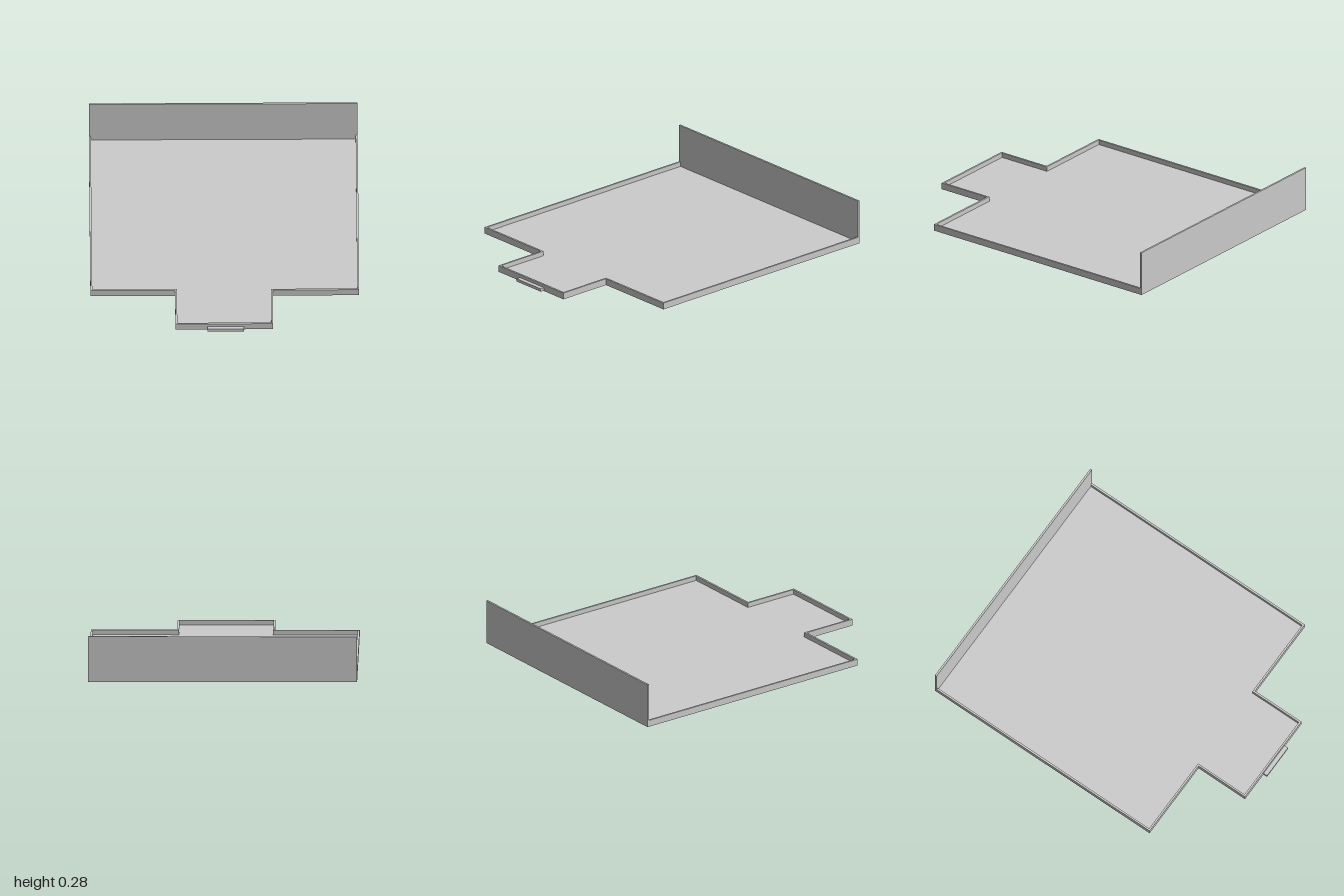
import * as THREE from 'three';

const T = 0.012; // sheet thickness
const RIM = 0.042; // rim height
const HALF = 0.83, BACK = -1, SHOULDER = 0.622, FRONT = 0.973;
const TONGUE_L = 0.297, TONGUE_R = -0.307;

// T-shaped plan of the tray, moved inward by d (plan z becomes -y of the shape)
function plan(d) {
  return [
    [-HALF + d, BACK + d], [-HALF + d, SHOULDER - d],
    [TONGUE_R + d, SHOULDER - d], [TONGUE_R + d, FRONT - d],
    [TONGUE_L - d, FRONT - d], [TONGUE_L - d, SHOULDER - d],
    [HALF - d, SHOULDER - d], [HALF - d, BACK + d],
  ].map(([x, z]) => new THREE.Vector2(x, -z));
}

// Extrude a plan shape upward from y0 to y1
function slab(shape, y0, y1) {
  const g = new THREE.ExtrudeGeometry(shape, { depth: y1 - y0, bevelEnabled: false });
  return g.rotateX(-Math.PI / 2).translate(0, y0, 0);
}

export function createModel() {
  const group = new THREE.Group();
  const material = new THREE.MeshStandardMaterial({ color: 0xcccccc });
  const add = (name, geometry) => {
    const mesh = new THREE.Mesh(geometry, material);
    mesh.name = name;
    group.add(mesh);
  };

  // Floor plate
  add('floor', slab(new THREE.Shape(plan(0)), 0, T));

  // Low rim following the outline
  const rim = new THREE.Shape(plan(0));
  rim.holes.push(new THREE.Path(plan(T)));
  add('rim', slab(rim, T, RIM));

  // Tall wall standing on the back rim
  const wallTop = 0.284;
  add('backWall', new THREE.BoxGeometry(2 * HALF, wallTop - RIM, T)
    .translate(0, (wallTop + RIM) / 2, BACK + T / 2));

  // Small tab on the front of the tongue
  add('frontTab', new THREE.BoxGeometry(0.225, 0.019, 1 - FRONT)
    .translate(0.003, 0.0125, (1 + FRONT) / 2));

  return group;
}
